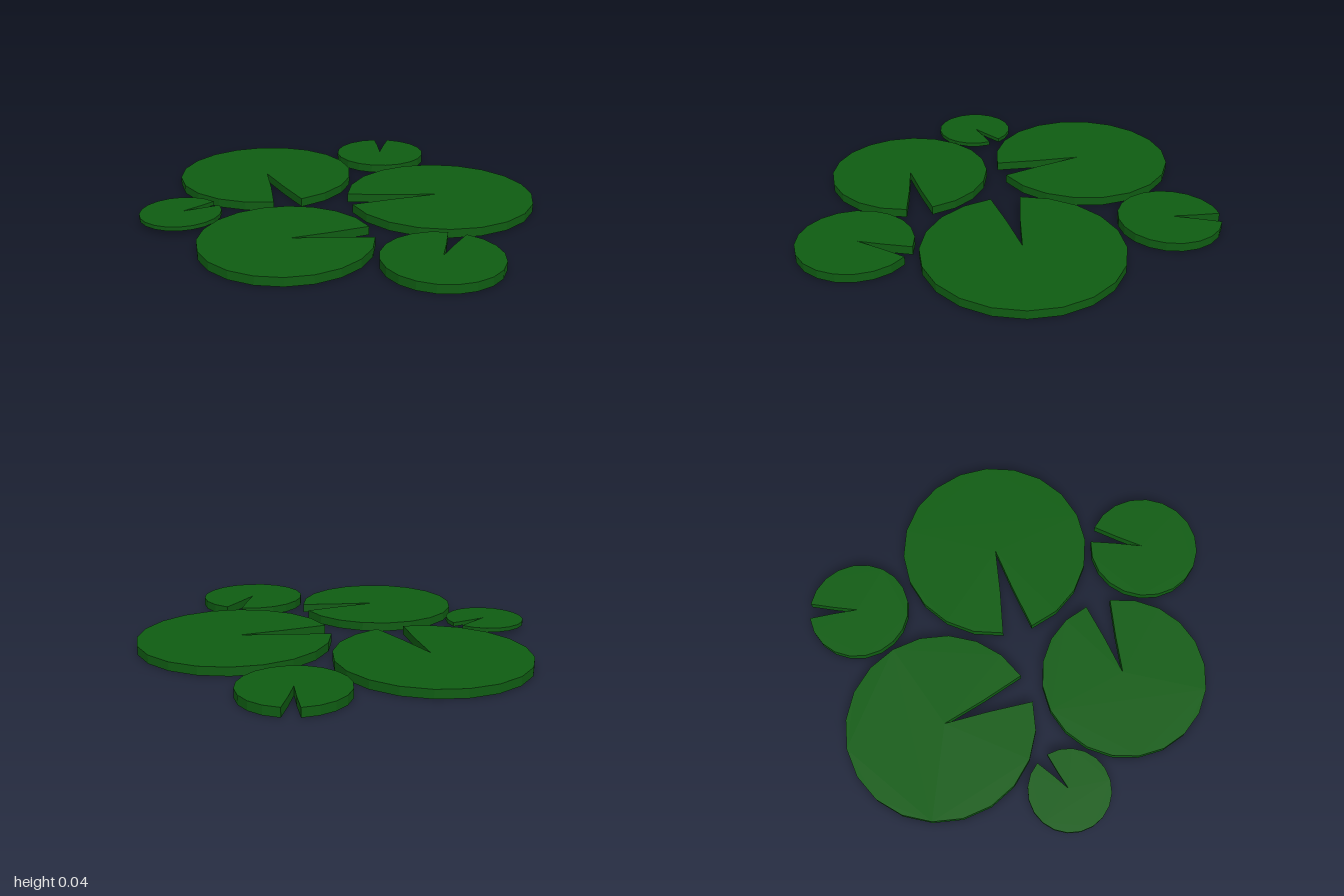
import * as THREE from 'three';

const TOP = 0.04;
const SIDES = 20;

// Notched 20-sided disc: one side is missing and cut in to just past the centre.
function padGeometry(radius, notchDegrees, thickness) {
  const step = (Math.PI * 2) / SIDES;
  const mid = THREE.MathUtils.degToRad(notchDegrees);
  const polar = (r, a) => new THREE.Vector2(r * Math.cos(a), r * Math.sin(a));
  const points = [polar(radius * 0.045, mid), polar(radius * 0.52, mid + step * 0.42)];
  for (let i = 0; i < SIDES; i++) points.push(polar(radius, mid + step * (i + 0.5)));
  points.push(polar(radius * 0.52, mid - step * 0.42));
  const geometry = new THREE.ExtrudeGeometry(new THREE.Shape(points), { depth: thickness, bevelEnabled: false });
  // lay flat: shape y becomes z, depth goes down
  return geometry.rotateX(Math.PI / 2);
}

export function createModel() {
  const group = new THREE.Group();
  group.name = 'lilyPads';
  const green = new THREE.MeshStandardMaterial({ color: 0x0f5c12 });
  green.name = 'leafGreen';

  // name, x, z, radius, notch direction (degrees from +x towards +z), thickness
  const pads = [
    ['largePadBack', 0.195, -0.425, 0.443, 117, 0.04],
    ['largePadRight', -0.57, 0.078, 0.431, 18, 0.04],
    ['largePadFront', 0.211, 0.462, 0.379, -65, 0.04],
    ['smallPadLeft', 0.741, 0.053, 0.258, -123.5, 0.04],
    ['smallPadBack', -0.497, -0.61, 0.233, -140, 0.04],
    ['smallPadFront', -0.334, 0.681, 0.186, -89, 0.019],
  ];
  for (const [name, x, z, radius, notch, thickness] of pads) {
    const pad = new THREE.Mesh(padGeometry(radius, notch, thickness), green);
    pad.name = name;
    pad.position.set(x, TOP, z);
    group.add(pad);
  }
  return group;
}
